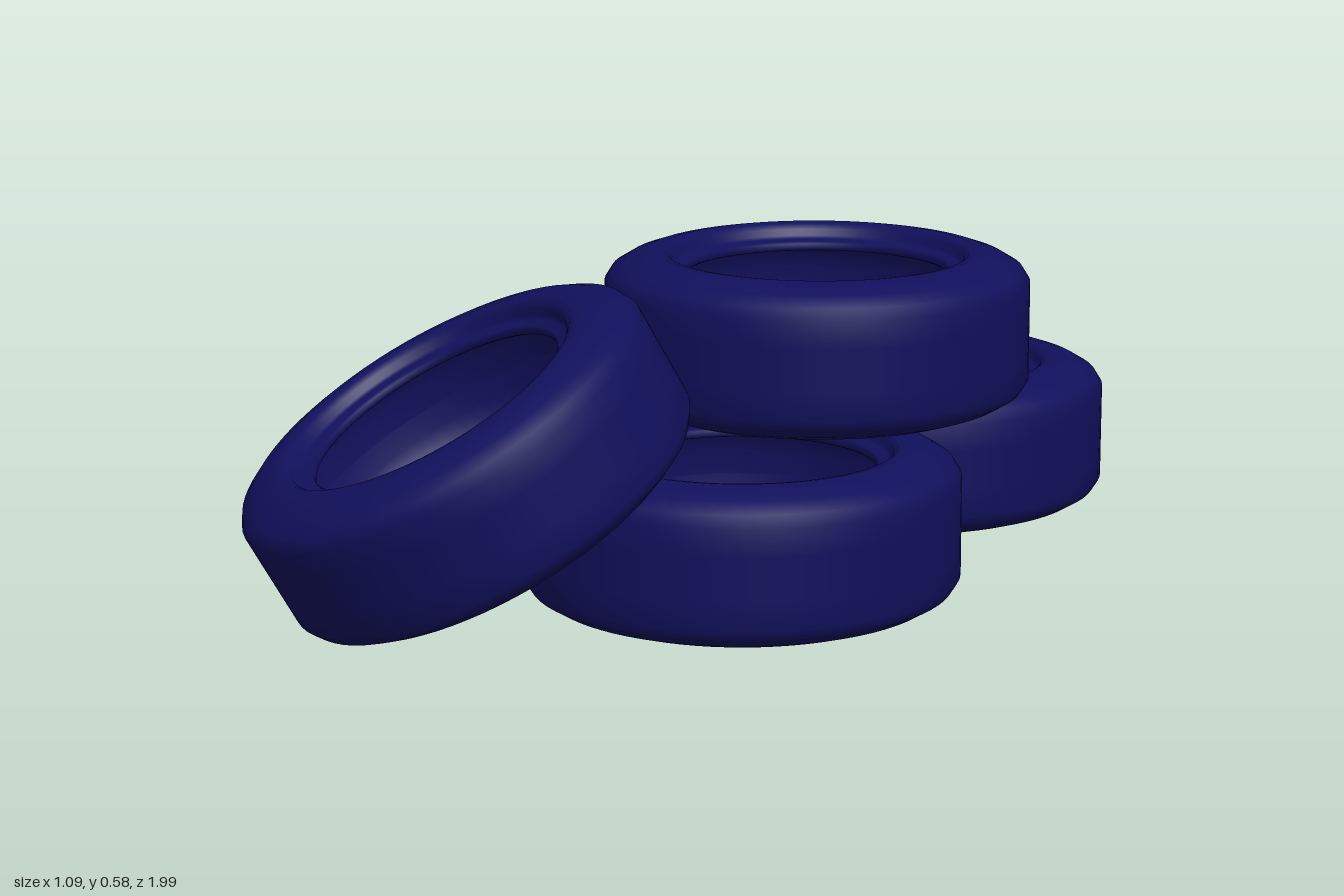
import * as THREE from 'three';

export function createModel() {
  const group = new THREE.Group();
  const material = new THREE.MeshStandardMaterial({ color: 0x10105c });

  // Upper half of the tyre section: tread, rounded shoulder, sidewall, stepped bead, hollow inside
  const half = [
    [0.393, 0.04], [0.393, 0.09], [0.38, 0.111], [0.352, 0.128], [0.32, 0.139], [0.295, 0.144],
    [0.28, 0.141], [0.271, 0.132], [0.268, 0.12], [0.262, 0.115], [0.244, 0.113],
    [0.24, 0.109], [0.24, 0.099], [0.246, 0.095], [0.31, 0.095], [0.335, 0.08], [0.343, 0.04],
  ];
  const lower = half.map(([r, y]) => [r, -y]).reverse();
  const profile = [[0.345, 0], ...lower, ...half, [0.345, 0]]
    .map(([r, y]) => new THREE.Vector2(r, y));
  const tyreGeometry = new THREE.LatheGeometry(profile, 72);

  // Name, centre and axle direction of each tyre
  const tyres = [
    ['backTyre', [0, 0.147, -0.607], [0, 1, 0]],
    ['middleTyre', [0.152, 0.147, 0.182], [0, 1, 0]],
    ['topTyre', [0.09, 0.437, -0.157], [0, 1, 0]],
    ['leaningTyre', [-0.145, 0.303, 0.597], [-0.33, 1, 0.45]],
  ];
  const up = new THREE.Vector3(0, 1, 0);
  for (const [name, centre, axle] of tyres) {
    const tyre = new THREE.Mesh(tyreGeometry, material);
    tyre.name = name;
    tyre.position.set(...centre);
    tyre.quaternion.setFromUnitVectors(up, new THREE.Vector3(...axle).normalize());
    group.add(tyre);
  }
  return group;
}
